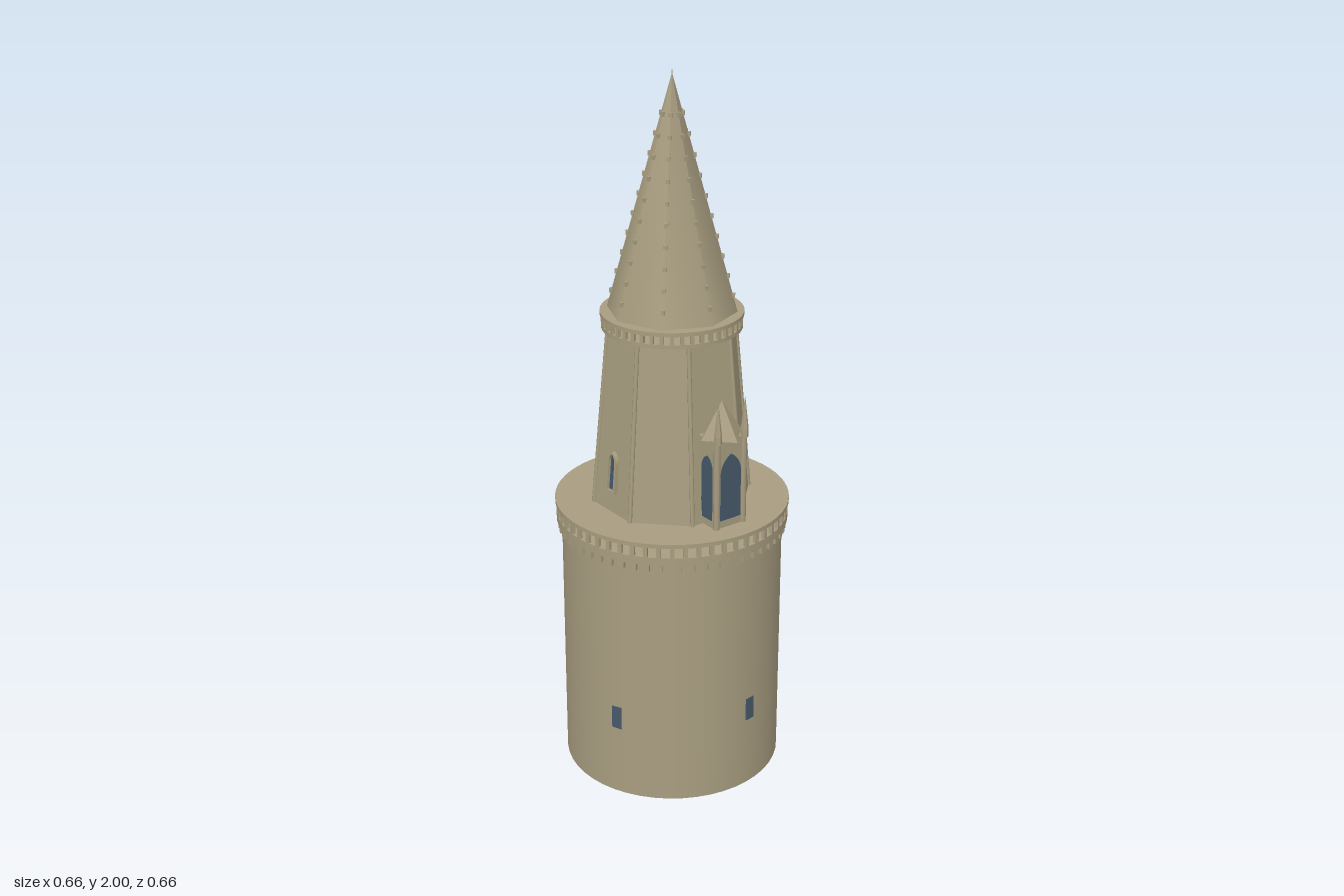
import * as THREE from 'three';

const stone = new THREE.MeshStandardMaterial({ color: 0xa89d80 });
stone.name = 'stone';
const glass = new THREE.MeshStandardMaterial({ color: 0x46586a });
glass.name = 'dark glass';

function add(parent, name, geo, mat, x = 0, y = 0, z = 0) {
  const mesh = new THREE.Mesh(geo, mat);
  mesh.name = name;
  mesh.position.set(x, y, z);
  parent.add(mesh);
  return mesh;
}

// Upright drum or cone between two heights
function drum(parent, name, rBottom, rTop, y0, y1, sides, x = 0, z = 0, flat = false) {
  let geo = new THREE.CylinderGeometry(rTop, rBottom, y1 - y0, sides);
  if (flat) {
    geo = geo.toNonIndexed();
    geo.computeVertexNormals();
  }
  return add(parent, name, geo, stone, x, (y0 + y1) / 2, z);
}

// Boxes evenly spaced around a circle
function ringOfBoxes(parent, name, count, r, w, y0, y1, d) {
  const group = new THREE.Group();
  group.name = name;
  const geo = new THREE.BoxGeometry(w, y1 - y0, d);
  for (let i = 0; i < count; i++) {
    const a = ((i + 0.5) / count) * Math.PI * 2;
    add(group, 'block', geo, stone, Math.sin(a) * r, (y0 + y1) / 2, Math.cos(a) * r).rotation.y = a;
  }
  parent.add(group);
}

// Pointed arch outline standing on y = 0
function arch(w, h, Type = THREE.Shape) {
  const s = new Type();
  const spring = h - w * 0.85;
  s.moveTo(-w / 2, 0);
  s.lineTo(w / 2, 0);
  s.lineTo(w / 2, spring);
  s.quadraticCurveTo(w / 2, h - w * 0.3, 0, h);
  s.quadraticCurveTo(-w / 2, h - w * 0.3, -w / 2, spring);
  s.closePath();
  return s;
}

// Arched window: thin pane and a raised frame, facing +z
function archWindow(parent, w, h, frame) {
  const group = new THREE.Group();
  group.name = 'archedWindow';
  const pane = new THREE.ExtrudeGeometry(arch(w, h), { depth: 0.004, bevelEnabled: false, curveSegments: 6 });
  add(group, 'pane', pane, glass);
  if (frame) {
    const outer = arch(w + 2 * frame, h + 2 * frame);
    const hole = new THREE.Path(arch(w, h).getPoints(6).map((p) => new THREE.Vector2(p.x, p.y + frame)));
    outer.holes.push(hole);
    const geo = new THREE.ExtrudeGeometry(outer, { depth: 0.012, bevelEnabled: false, curveSegments: 6 });
    add(group, 'frame', geo, stone, 0, -frame, 0);
  }
  parent.add(group);
  return group;
}

// Open balustrade: floor, balusters and solid cap
function balustrade(parent, name, r, y0, yFloor, yCap, yTop, count, w) {
  const group = new THREE.Group();
  group.name = name;
  drum(group, 'floor', r - 0.003, r - 0.003, y0, yFloor, 64);
  ringOfBoxes(group, 'balusters', count, r - 0.008, w, yFloor, yCap, 0.01);
  drum(group, 'cap', r, r, yCap, yTop, 64);
  parent.add(group);
}

export function createModel() {
  const model = new THREE.Group();
  model.name = 'tower';

  // Round base with corbels and lower gallery
  drum(model, 'baseDrum', 0.31, 0.31, 0, 0.75, 48);
  ringOfBoxes(model, 'corbels', 56, 0.312, 0.02, 0.722, 0.746, 0.018);
  balustrade(model, 'lowerGallery', 0.328, 0.745, 0.768, 0.798, 0.81, 56, 0.012);

  // Slit windows: angle from the front, centre height
  for (const [x, y, z] of [[0.05, 0.243, 0.306], [-0.281, 0.243, 0.13], [0.28, 0.382, -0.135], [-0.17, 0.585, -0.26]]) {
    const a = Math.atan2(x, z);
    const slit = add(model, 'slitWindow', new THREE.BoxGeometry(0.029, 0.068, 0.008), glass,
      Math.sin(a) * 0.3085, y, Math.cos(a) * 0.3085);
    slit.rotation.y = a;
  }

  // Upper storey, turned very slightly
  const upper = new THREE.Group();
  upper.name = 'upperTower';
  upper.rotation.y = 0.024;
  model.add(upper);

  const rB = 0.224, rT = 0.178, yB = 0.808, yT = 1.312;
  const shaft = drum(upper, 'octagonalShaft', rB, rT, yB, yT, 8, 0, 0, true);
  shaft.rotation.y = Math.PI / 8;

  // Corner ribs
  const up = new THREE.Vector3(0, 1, 0);
  for (let i = 0; i < 8; i++) {
    const a = ((i + 0.5) * Math.PI) / 4;
    const p = new THREE.Vector3(Math.sin(a) * rB, yB, Math.cos(a) * rB);
    const q = new THREE.Vector3(Math.sin(a) * rT, yT, Math.cos(a) * rT);
    const dir = q.clone().sub(p);
    const rib = add(upper, 'cornerRib', new THREE.CylinderGeometry(0.006, 0.006, dir.length(), 8), stone);
    rib.position.copy(p).add(q).multiplyScalar(0.5);
    rib.quaternion.setFromUnitVectors(up, dir.normalize());
  }

  // Arched windows on the left-hand and rear faces
  const lean = Math.atan((rB - rT) * Math.cos(Math.PI / 8) / (yT - yB));
  for (const a of [Math.PI, -Math.PI / 2]) {
    const holder = new THREE.Group();
    holder.name = 'windowHolder';
    holder.rotation.y = a;
    upper.add(holder);
    const win = archWindow(holder, 0.026, 0.105, 0.007);
    win.position.set(0, 0.875, rB * Math.cos(Math.PI / 8) - 0.067 * Math.tan(lean) - 0.001);
    win.rotation.x = -lean;
  }

  // Upper gallery and spire
  balustrade(upper, 'upperGallery', 0.195, 1.31, 1.321, 1.345, 1.356, 44, 0.01);
  drum(upper, 'spire', 0.178, 0.0008, 1.355, 1.99, 8);
  drum(upper, 'finial', 0.002, 0.001, 1.98, 2, 6);
  for (let i = 0; i < 8; i++) {
    const a = (i * Math.PI) / 4;
    for (let k = 0; k < 10; k++) {
      const r = 0.165 - k * 0.0152;
      const y = 1.355 + 0.635 * (1 - r / 0.178);
      add(upper, 'spireKnob', new THREE.BoxGeometry(0.01, 0.012, 0.01), stone,
        Math.sin(a) * r, y, Math.cos(a) * r).rotation.y = a;
    }
  }

  // Side turret
  drum(upper, 'turretShaft', 0.036, 0.036, 0.808, 0.99, 24, 0.201);
  drum(upper, 'turretRoof', 0.046, 0.0005, 0.985, 1.255, 24, 0.201);

  // Front bay with pyramid roof, arched windows and pinnacles
  const bay = new THREE.Group();
  bay.name = 'frontBay';
  upper.add(bay);
  add(bay, 'bayWalls', new THREE.BoxGeometry(0.1, 0.256, 0.1), stone, 0, 0.936, 0.211);
  drum(bay, 'bayRoof', 0.069, 0.0005, 1.062, 1.16, 4, 0, 0.22, true);
  archWindow(bay, 0.068, 0.19, 0).position.set(0, 0.832, 0.259);
  for (const s of [-1, 1]) {
    const side = archWindow(bay, 0.046, 0.185, 0);
    side.position.set(s * 0.048, 0.832, 0.224);
    side.rotation.y = (s * Math.PI) / 2;
    drum(bay, 'cornerPost', 0.009, 0.009, 0.808, 1.07, 8, s * 0.045, 0.259);
    drum(bay, 'pinnacleBase', 0.011, 0.011, 1.06, 1.082, 6, s * 0.045, 0.262, true);
    drum(bay, 'pinnacle', 0.011, 0.0005, 1.082, 1.175, 6, s * 0.045, 0.262, true);
  }

  return model;
}
